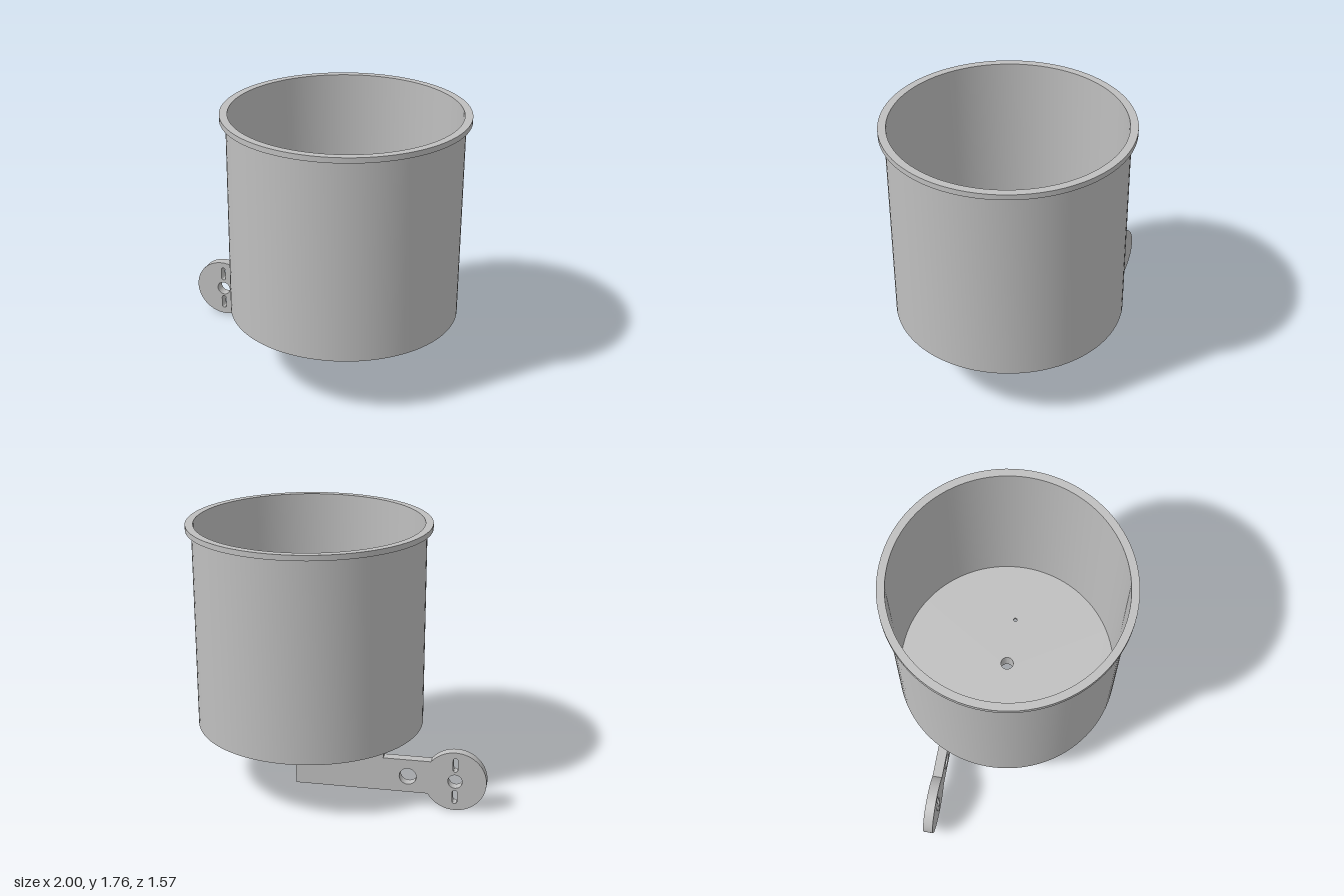
import * as THREE from 'three';
import { toCreasedNormals } from 'three/addons/utils/BufferGeometryUtils.js';

const CX = 0.212; // axis of the bucket
const BASE = 0.41, FLOOR = 0.02, TOP = 1.76;
const INNER = 0.735, OUTER = 0.747, RIM = 0.785, BORE = 0.043;

const grey = new THREE.MeshStandardMaterial({ color: 0xbfbfbf });
grey.name = 'grey';

function part(name, geometry) {
  const mesh = new THREE.Mesh(toCreasedNormals(geometry, 0.5), grey);
  mesh.name = name;
  return mesh;
}

const turned = (profile, segments) =>
  new THREE.LatheGeometry(profile.map(([r, y]) => new THREE.Vector2(r, y)), segments);

const circle = (x, y, r) => new THREE.Path().absarc(x, y, r, 0, Math.PI * 2, true);

// Upright slot with rounded ends
function slot(x, y, width, height) {
  const r = width / 2, d = height / 2 - r;
  const path = new THREE.Path();
  path.absarc(x, y + d, r, 0, Math.PI, false);
  path.absarc(x, y - d, r, Math.PI, Math.PI * 2, false);
  path.closePath();
  return path;
}

export function createModel() {
  const model = new THREE.Group();
  model.name = 'bucketWithBracket';

  // Wall with a flanged rim
  const wall = part('bucketWall', turned([
    [INNER, BASE], [OUTER, BASE], [OUTER, 1.725], [RIM, 1.725],
    [RIM, TOP], [INNER, TOP], [INNER, BASE + FLOOR],
  ], 96));
  wall.position.x = CX;

  // Floor with a drain and a small side hole
  const disc = new THREE.Shape().absarc(0, 0, INNER, 0, Math.PI * 2, false);
  disc.holes.push(circle(0, 0, BORE), circle(0.33, 0, 0.013));
  const floorGeometry = new THREE.ExtrudeGeometry(disc, { depth: FLOOR, bevelEnabled: false, curveSegments: 96 });
  floorGeometry.rotateX(-Math.PI / 2);
  const floor = part('bucketFloor', floorGeometry);
  floor.position.set(CX, BASE, 0);

  // Drain spout below the floor
  const spout = part('drainSpout', turned([
    [BORE, BASE], [BORE, 0.3], [0.08, 0.3], [0.08, BASE],
  ], 48));
  spout.position.x = CX;

  // Stepped bracket plate ending in a round head
  const hx = -0.8, hy = 0.2, hr = 0.2, low = 0.1, high = 0.325;
  const outline = new THREE.Shape();
  outline.moveTo(0.235, low);
  outline.lineTo(0.235, BASE);
  outline.lineTo(-0.337, BASE);
  outline.lineTo(-0.337, high);
  outline.absarc(hx, hy, hr, Math.asin((high - hy) / hr), Math.PI * 2 + Math.asin((low - hy) / hr), false);
  outline.closePath();
  outline.holes.push(
    circle(hx, hy, 0.046),
    circle(-0.497, 0.209, 0.055),
    slot(hx, 0.313, 0.032, 0.094),
    slot(hx, 0.092, 0.032, 0.094),
  );
  const bracket = part('bracket', new THREE.ExtrudeGeometry(outline, {
    depth: 0.065, bevelEnabled: false, curveSegments: 48,
  }));
  bracket.position.z = -0.361;

  model.add(wall, floor, spout, bracket);
  return model;
}
